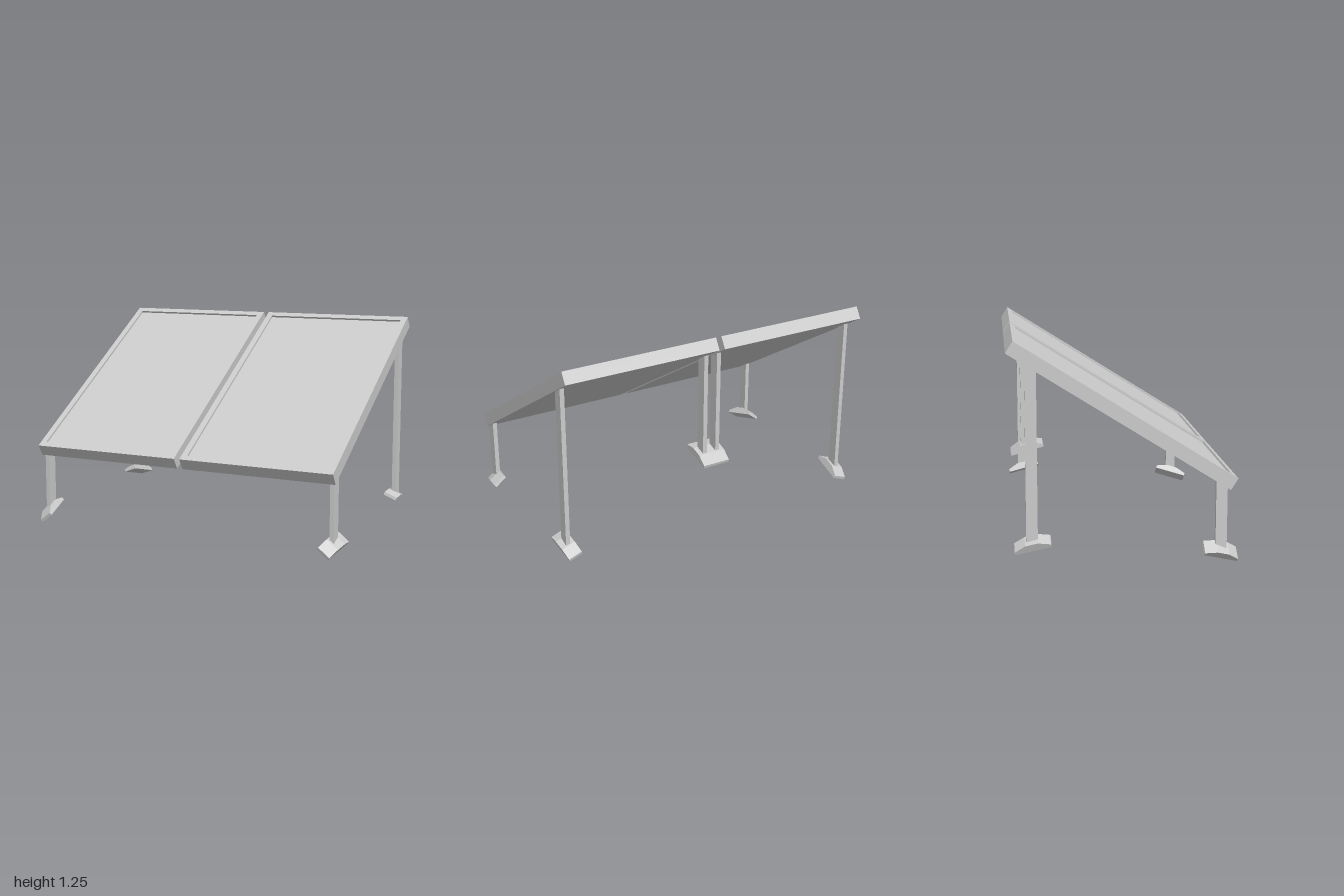
import * as THREE from 'three';

const material = new THREE.MeshStandardMaterial({ color: 0xcccccc, flatShading: true });
const rad = THREE.MathUtils.degToRad;

function mesh(name, geometry) {
  const m = new THREE.Mesh(geometry, material);
  m.name = name;
  return m;
}

function rectangle(PathType, w, h) {
  const p = new PathType();
  p.moveTo(-w / 2, -h / 2);
  p.lineTo(w / 2, -h / 2);
  p.lineTo(w / 2, h / 2);
  p.lineTo(-w / 2, h / 2);
  p.closePath();
  return p;
}

// Framed panel lying flat, thickness along y, slightly sunken face
function makePanel(side) {
  const width = 0.947, length = 1.443, thick = 0.076, border = 0.037, recess = 0.012;
  const panel = new THREE.Group();
  panel.name = side > 0 ? 'leftPanel' : 'rightPanel';

  const shape = rectangle(THREE.Shape, width, length);
  shape.holes.push(rectangle(THREE.Path, width - 2 * border, length - 2 * border));
  const frame = new THREE.ExtrudeGeometry(shape, { depth: thick, bevelEnabled: false });
  frame.translate(0, 0, -thick / 2).rotateX(-Math.PI / 2);
  panel.add(mesh('panelFrame', frame));

  const face = new THREE.BoxGeometry(width - 2 * border, thick - recess, length - 2 * border);
  face.translate(0, -recess / 2, 0);
  panel.add(mesh('panelFace', face));

  panel.position.x = side * (0.0175 + width / 2);
  return panel;
}

// Foot plate: flat underside, top chamfered towards both ends
function footGeometry() {
  const width = 0.085;
  const outline = [[-0.102, 0], [0.102, 0], [0.102, 0.018], [0.036, 0.044], [-0.036, 0.044], [-0.102, 0.018]];
  const shape = new THREE.Shape(outline.map(([a, b]) => new THREE.Vector2(a, b)));
  const g = new THREE.ExtrudeGeometry(shape, { depth: width, bevelEnabled: false });
  return g.translate(0, 0, -width / 2).rotateY(-Math.PI / 2);
}

// Post positions and the tilt of the foot under each one (left side; mirrored)
const posts = [
  { name: 'front', x: 0.94, z: 0.543, bottom: 0.075, top: 0.47, foot: [0.93, 0.058, 0.538], pitch: 19, roll: 38 },
  { name: 'back', x: 0.94, z: -0.5, bottom: 0.135, top: 1.13, foot: [0.93, 0.12, -0.493], pitch: -14.5, roll: 21 },
  { name: 'middle', x: 0.042, z: -0.5, bottom: 0.485, top: 1.13, foot: [0.0425, 0.468, -0.493], pitch: -15.5, roll: 0 },
];

export function createModel() {
  const model = new THREE.Group();
  model.name = 'panelArray';

  // Tilted pair of panels
  const panels = new THREE.Group();
  panels.name = 'panels';
  panels.position.y = 0.835;
  panels.rotation.x = rad(32.2);
  model.add(panels);

  const foot = footGeometry();
  for (const side of [1, -1]) {
    panels.add(makePanel(side));

    // Legs with feet set to the slope of the ground
    for (const p of posts) {
      const height = p.top - p.bottom;
      const leg = mesh(p.name + 'Leg', new THREE.BoxGeometry(0.026, height, 0.063));
      leg.position.set(side * p.x, p.bottom + height / 2, p.z);
      const plate = mesh(p.name + 'Foot', foot);
      plate.position.set(side * p.foot[0], p.foot[1], p.foot[2]);
      plate.rotation.set(rad(p.pitch), 0, rad(-side * p.roll), 'ZXY');
      model.add(leg, plate);
    }
  }
  return model;
}
